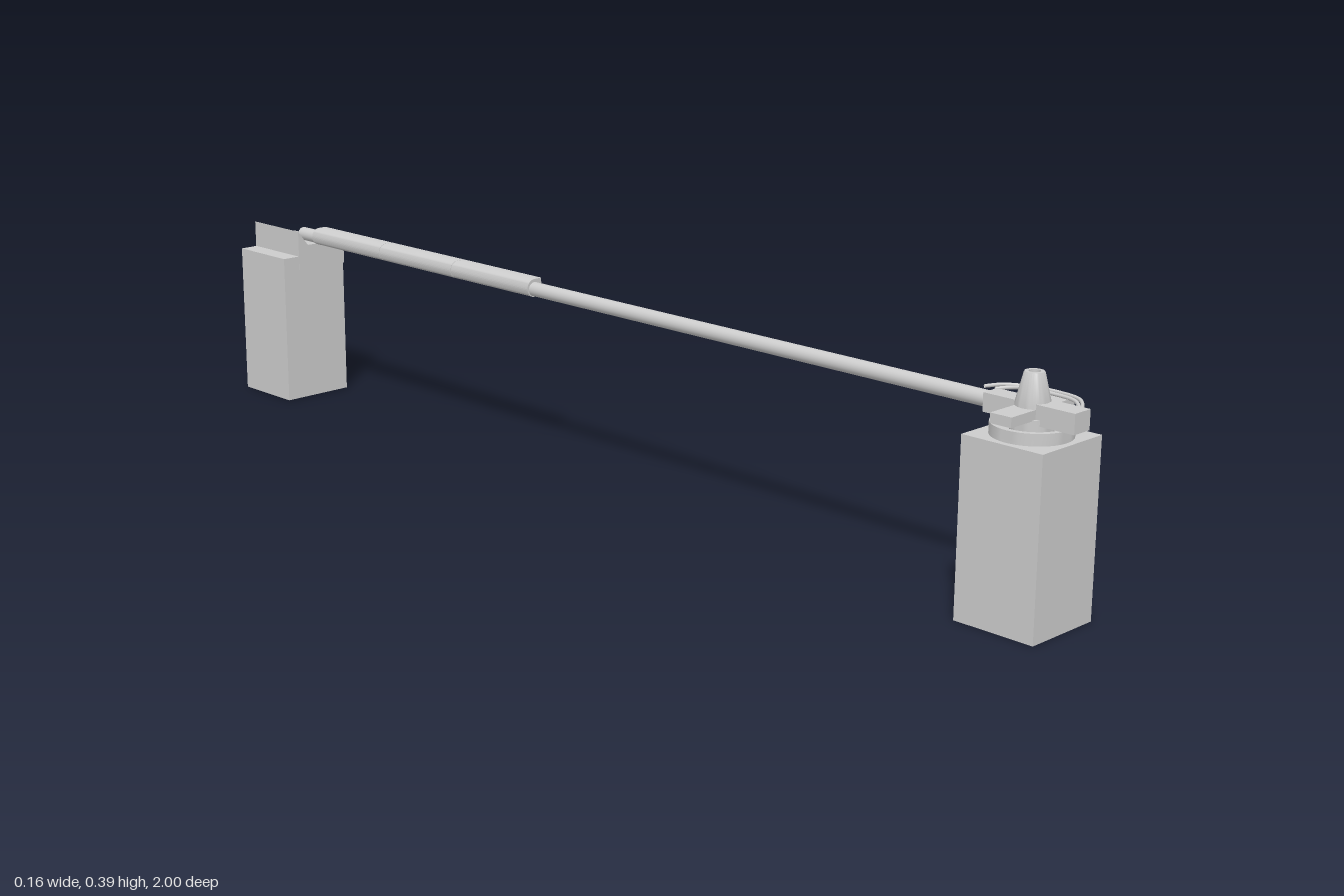
import * as THREE from 'three';
import { toCreasedNormals } from 'three/addons/utils/BufferGeometryUtils.js';

export function createModel() {
  const model = new THREE.Group();
  const material = new THREE.MeshStandardMaterial({ color: 0xcccccc, side: THREE.DoubleSide });

  function add(name, geometry, x = 0, y = 0, z = 0) {
    const mesh = new THREE.Mesh(geometry, material);
    mesh.name = name;
    mesh.position.set(x, y, z);
    model.add(mesh);
    return mesh;
  }
  const box = (name, w, h, d, x, y, z) => add(name, new THREE.BoxGeometry(w, h, d), x, y, z);
  const lathe = (name, points, x, y, z, segments = 32) => add(name,
    toCreasedNormals(new THREE.LatheGeometry(points.map(p => new THREE.Vector2(...p)), segments), 0.6), x, y, z);
  const extrude = (shape, depth) => toCreasedNormals(
    new THREE.ExtrudeGeometry(shape, { depth, bevelEnabled: false, curveSegments: 10 }), 0.6);

  const W = 0.146, H = 0.293, pivotZ = 0.913, restZ = -0.926;

  // Hollow posts, open at the bottom
  for (const [name, z] of [['pivotPost', pivotZ], ['restPost', restZ]]) {
    const geometry = new THREE.BoxGeometry(W, H, W);
    const index = Array.from(geometry.index.array);
    index.splice(18, 6); // bottom face
    geometry.setIndex(index);
    add(name, geometry, 0, H / 2, z);
  }

  // Turntable: shallow ring with a floor, and a hub in the middle
  lathe('turntableRing', [[0, 0.004], [0.054, 0.004], [0.054, 0.019], [0.063, 0.019], [0.063, 0]], 0, H, pivotZ, 40);
  lathe('hub', [[0, 0], [0.033, 0], [0.033, 0.03], [0, 0.03]], 0, H, pivotZ);

  // Cross-shaped bracket that carries the pole
  box('crossArm', 0.156, 0.016, 0.038, 0, 0.33, pivotZ);
  box('frontBlock', 0.038, 0.032, 0.085, 0, 0.33, 0.9575);
  box('poleSocket', 0.034, 0.03, 0.07, 0, 0.33, 0.87);

  // Hollow-topped cone on the pivot
  lathe('pivotCone', [[0.027, 0], [0.027, 0.005], [0.016, 0.05], [0.015, 0.052],
    [0.009, 0.052], [0.009, 0.03], [0, 0.03]], 0, 0.338, pivotZ);

  // Cords looping around the left side of the bracket
  for (const [i, s] of [1, 0.82].entries()) {
    const path = new THREE.CatmullRomCurve3([
      [0.012, 0.345, 0.815 + i * 0.02], [0.036 * s, 0.346, 0.83 + i * 0.018],
      [0.062 * s, 0.344, 0.862], [0.073 * s, 0.342, 0.905],
      [0.066 * s, 0.341, 0.948], [0.045 * s, 0.337, 0.968], [0.016, 0.335, 0.978],
    ].map(p => new THREE.Vector3(...p)));
    add('cord', new THREE.TubeGeometry(path, 40, 0.003, 8));
  }

  // Round pole spanning the two posts
  const pole = add('pole', new THREE.CylinderGeometry(0.013, 0.013, 1.775, 24), 0, 0.331, 0.0025);
  pole.rotation.x = Math.PI / 2;

  // Sleeve: rounded on the right, flat on the left, in three lengths
  const section = new THREE.Shape();
  section.moveTo(0.017, -0.0165);
  section.lineTo(0.017, 0.0165);
  section.lineTo(0, 0.0165);
  section.absarc(0, 0, 0.0165, Math.PI / 2, Math.PI * 1.5, false);
  section.closePath();
  const length = 0.65 / 3;
  const sleeve = extrude(section, length - 0.001);
  for (let i = 0; i < 3; i++) add('sleeveSection', sleeve, 0, 0.333, -0.833 + i * length);

  // Cradle cap: raised lip, flat seat and a rounded fold down the left side
  const cap = new THREE.Shape();
  cap.moveTo(-0.037, 0.265);
  cap.lineTo(-0.037, 0.344);
  cap.lineTo(-0.014, 0.314);
  cap.lineTo(0.058, 0.312);
  cap.quadraticCurveTo(0.074, 0.31, 0.075, 0.295);
  cap.lineTo(0.075, 0.265);
  cap.closePath();
  add('cradleCap', extrude(cap, W + 0.002), 0, 0, -1);

  return model;
}
